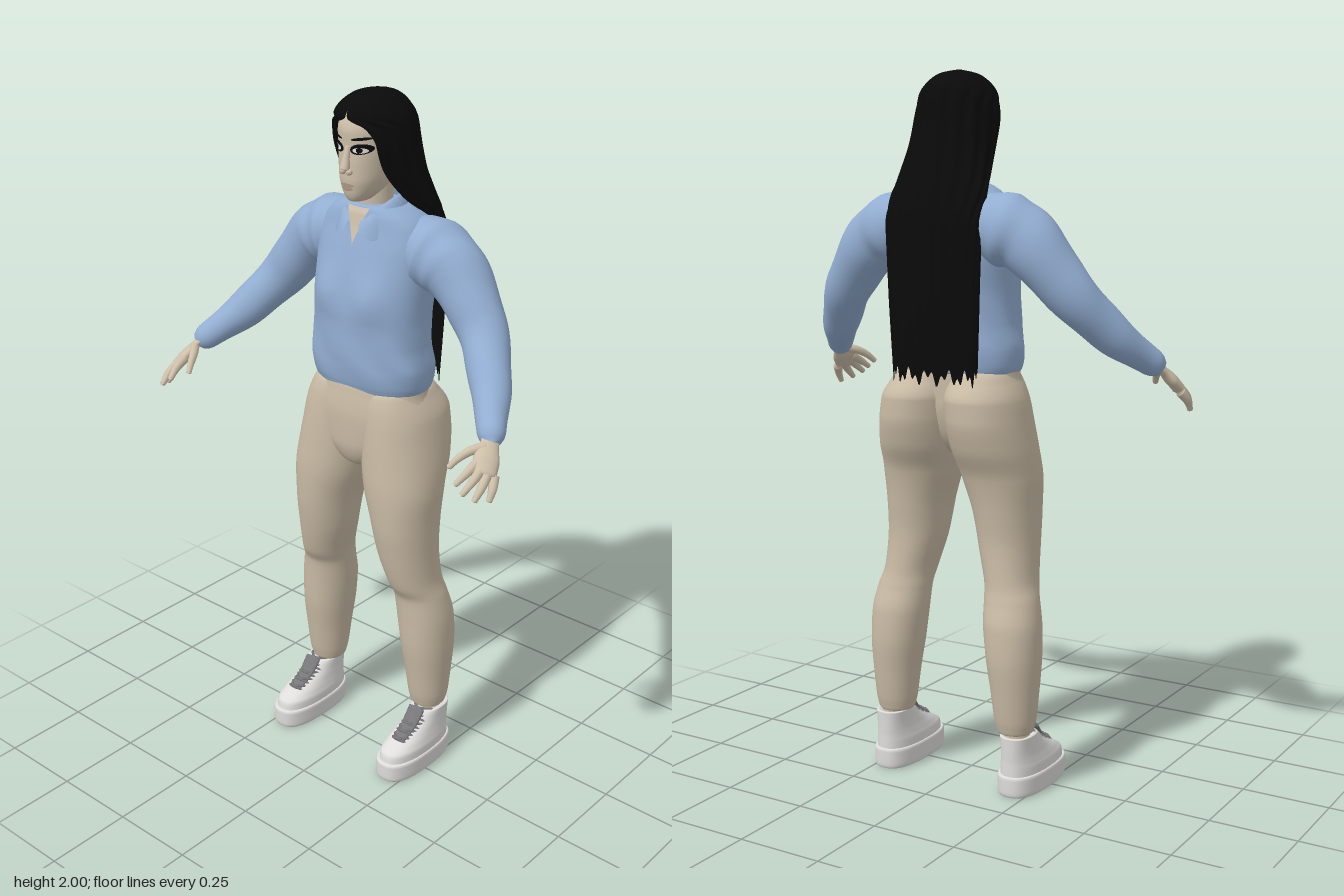
import * as THREE from 'three';
import { ParametricGeometry } from 'three/addons/geometries/ParametricGeometry.js';

const V = (p) => new THREE.Vector3(...p);
const mat = (name, color, open) => {
  const m = new THREE.MeshStandardMaterial({ color });
  m.name = name;
  if (open) m.side = THREE.DoubleSide;
  return m;
};

// Smooth interpolation through a table of rows, without overshoot
function sample(rows, v) {
  const f = Math.min(Math.max(v, 0), 1) * (rows.length - 1);
  const i = Math.min(Math.floor(f), rows.length - 2), t = f - i;
  return rows[0].map((_, c) => {
    const d = (k) => (rows[k + 1] && rows[k] ? rows[k + 1][c] - rows[k][c] : 0);
    const slope = (a, b) => (a * b > 0 ? (2 * a * b) / (a + b) : 0);
    const m0 = slope(d(i - 1), d(i)), m1 = slope(d(i), d(i + 1));
    const p0 = rows[i][c], p1 = rows[i + 1][c];
    return p0 + m0 * t + (3 * d(i) - 2 * m0 - m1) * t * t + (m0 + m1 - 2 * (p1 - p0)) * t * t * t;
  });
}

// Closed body from rows of [y, centreX, halfWidth, zFront, zBack], bottom to top
function loft(rows, e = 2, slices = 36, deform = null) {
  const pw = (s) => Math.sign(s) * Math.pow(Math.abs(s), 2 / e);
  return new ParametricGeometry((u, v, p) => {
    const [y, cx, rx, zf, zb] = sample(rows, v), a = u * Math.PI * 2;
    p.set(cx + rx * pw(Math.sin(a)), y, (zf + zb) / 2 + ((zf - zb) / 2) * pw(Math.cos(a)));
    if (deform) deform(p, a);
  }, slices, rows.length * 5);
}

// Rounded limb along points, with a radius at each step; flat squashes its thickness
function limb(points, radii, { ref = [0, 0, 1], flat = 1, slices = 12, stacks = 24, wrinkle = 0 } = {}) {
  const curve = new THREE.CatmullRomCurve3(points.map(V)), up = V(ref);
  return new ParametricGeometry((u, v, p) => {
    const w = Math.min(Math.max(v, 0), 1), a = u * Math.PI * 2;
    const t = curve.getTangent(w), n = up.clone().cross(t).normalize(), b = t.clone().cross(n);
    const k = Math.max(0, (Math.abs(2 * w - 1) - 0.9) / 0.1);
    const r = sample(radii.map((x) => [x]), w)[0] * Math.max(0.05, Math.sqrt(Math.max(0, 1 - k * k)))
      * (1 + wrinkle * Math.sin(w * 34 + 2 * Math.sin(a)));
    p.copy(curve.getPoint(w)).addScaledVector(n, r * flat * Math.cos(a)).addScaledVector(b, r * Math.sin(a));
  }, slices, stacks);
}

// Front surface depth of a lofted body at (x, y)
function frontZ(rows, x, y, e) {
  let i = 0;
  while (i < rows.length - 2 && rows[i + 1][0] < y) i++;
  const t = (y - rows[i][0]) / (rows[i + 1][0] - rows[i][0]);
  const [rx, zf, zb] = [2, 3, 4].map((c) => THREE.MathUtils.lerp(rows[i][c], rows[i + 1][c], t));
  const q = Math.pow(Math.min(1, Math.abs(x / rx)), e);
  return (zf + zb) / 2 + ((zf - zb) / 2) * Math.pow(1 - q, 1 / e);
}

function mirrored(geo) {
  const g = geo.clone().scale(-1, 1, 1), ix = g.index;
  for (let i = 0; i < ix.count; i += 3) {
    const a = ix.getX(i);
    ix.setX(i, ix.getX(i + 2));
    ix.setX(i + 2, a);
  }
  return g;
}

const HEAD = [
  [1.712, 0, 0.003, 0, -0.01], [1.716, 0, 0.022, 0.026, -0.04], [1.73, 0, 0.038, 0.036, -0.07], [1.75, 0, 0.052, 0.041, -0.1],
  [1.78, 0, 0.064, 0.045, -0.13], [1.82, 0, 0.072, 0.045, -0.16], [1.86, 0, 0.077, 0.043, -0.17],
  [1.9, 0, 0.077, 0.045, -0.17], [1.94, 0, 0.07, 0.032, -0.16], [1.97, 0, 0.05, 0, -0.13], [1.982, 0, 0.003, -0.06, -0.07]];
const TORSO = [
  [1.187, 0, 0.02, -0.05, -0.08], [1.185, 0, 0.172, 0.04, -0.172], [1.2, 0, 0.184, 0.048, -0.178], [1.25, 0, 0.19, 0.057, -0.182],
  [1.32, 0, 0.178, 0.06, -0.182], [1.4, 0, 0.174, 0.06, -0.187], [1.5, 0, 0.178, 0.046, -0.203],
  [1.58, 0, 0.182, 0.026, -0.207], [1.64, 0, 0.165, 0.008, -0.19], [1.68, 0, 0.125, 0, -0.165],
  [1.7, 0, 0.07, -0.01, -0.14], [1.702, 0, 0.003, -0.06, -0.07]];
const LEG = [
  [0.176, 0.2, 0.003, -0.09, -0.1], [0.176, 0.2, 0.046, -0.045, -0.14], [0.2, 0.2, 0.056, -0.035, -0.15], [0.3, 0.198, 0.067, -0.02, -0.165],
  [0.4, 0.193, 0.077, -0.007, -0.175], [0.48, 0.187, 0.081, -0.003, -0.172], [0.55, 0.178, 0.077, 0.002, -0.155],
  [0.6, 0.168, 0.073, 0.025, -0.145], [0.7, 0.152, 0.083, 0.05, -0.14], [0.8, 0.143, 0.093, 0.065, -0.15],
  [0.9, 0.13, 0.11, 0.07, -0.17], [0.98, 0.118, 0.115, 0.066, -0.207], [1.06, 0.108, 0.112, 0.06, -0.227],
  [1.11, 0.102, 0.108, 0.055, -0.228], [1.16, 0.095, 0.092, 0.046, -0.2], [1.19, 0.09, 0.075, 0.03, -0.165], [1.195, 0.09, 0.003, -0.05, -0.06]];
const PELVIS = [
  [0.93, 0, 0.003, -0.02, -0.03], [0.955, 0, 0.06, 0.03, -0.1], [1.02, 0, 0.15, 0.055, -0.15], [1.1, 0, 0.2, 0.058, -0.17],
  [1.17, 0, 0.182, 0.05, -0.172], [1.2, 0, 0.174, 0.042, -0.17], [1.202, 0, 0.003, -0.06, -0.07]];
// Hair rows: y, halfWidth, centreZ, depth, half sweep angle from the back
const HAIR = [
  [1.18, 0.135, -0.192, 0.038, 90], [1.4, 0.145, -0.197, 0.042, 90], [1.58, 0.15, -0.198, 0.044, 96], [1.66, 0.146, -0.175, 0.06, 122],
  [1.72, 0.135, -0.14, 0.083, 138], [1.8, 0.121, -0.1, 0.105, 143], [1.87, 0.115, -0.077, 0.115, 141], [1.915, 0.107, -0.07, 0.117, 151],
  [1.94, 0.098, -0.067, 0.115, 178], [1.965, 0.08, -0.065, 0.1, 180], [1.99, 0.046, -0.065, 0.06, 180], [2, 0.003, -0.065, 0.004, 180]];

export function createModel() {
  const root = new THREE.Group();
  root.name = 'standingWoman';
  const skin = mat('skin', 0xcdbfa9, true), shirt = mat('shirtBlue', 0x93aed2, true), cloth = mat('trouserBeige', 0xc9bba5);
  const black = mat('hairBlack', 0x0a0a0a, true), white = mat('shoeWhite', 0xdedddb), grey = mat('laceGrey', 0x77777a);
  const lip = mat('lips', 0xb39c8b), eye = mat('eyeWhite', 0xe4e0da);
  const add = (name, geo, m) => {
    const mesh = new THREE.Mesh(geo, m);
    mesh.name = name;
    root.add(mesh);
  };
  const pair = (name, geo, m) => {
    add(name + 'Left', geo, m);
    add(name + 'Right', mirrored(geo), m);
  };

  // Head and face
  add('head', loft(HEAD, 2.2, 40), skin);
  add('neck', loft([[1.58, 0, 0.055, -0.01, -0.12], [1.66, 0, 0.05, -0.018, -0.12], [1.76, 0, 0.048, -0.015, -0.12]], 2, 24), skin);
  add('nose', limb([[0, 1.868, 0.038], [0, 1.835, 0.047], [0, 1.803, 0.055]], [0.008, 0.01, 0.014]), skin);
  pair('nostril', new THREE.SphereGeometry(0.009, 12, 8).translate(0.011, 1.8, 0.048), skin);
  const patch = (cx, cy, rx, ry, lift, tilt = 0) => new ParametricGeometry((u, v, p) => {
    const a = -u * Math.PI * 2, x = cx + v * rx * Math.cos(a);
    const y = cy + v * ry * Math.sin(a) + tilt * (x - cx);
    p.set(x, y, frontZ(HEAD, x, y, 2.2) + lift);
  }, 20, 4);
  pair('eyelashes', patch(0.037, 1.861, 0.026, 0.014, 0.002, 0.1), black);
  pair('eyeball', patch(0.037, 1.858, 0.018, 0.0075, 0.004), eye);
  pair('iris', patch(0.037, 1.859, 0.0075, 0.0075, 0.006), black);
  pair('eyebrow', patch(0.04, 1.888, 0.025, 0.004, 0.003, 0.12), black);
  add('upperLip', patch(0, 1.763, 0.023, 0.005, 0.004), lip);
  add('lowerLip', patch(0, 1.754, 0.019, 0.006, 0.005), lip);

  // Long hair: open at the face, falling as a sheet down the back
  add('hair', new ParametricGeometry((u, v, p) => {
    const [y, rx, zc, rz, A] = sample(HAIR, v), a = (2 * u - 1) * THREE.MathUtils.degToRad(A);
    const k = 1 + 0.025 * Math.sin(u * 75) * Math.sin(Math.min(1, v) * Math.PI);
    const ragged = Math.max(0, 1 - v * 16) * 0.013 * (Math.sin(u * 41) + Math.sin(u * 97));
    p.set(-rx * k * Math.sin(a), y + ragged, zc - rz * k * Math.cos(a));
  }, 96, 60), black);

  // Shirt body with soft folds, collar and open neck
  add('shirtBody', loft(TORSO, 2.4, 56, (p, a) => {
    const low = Math.max(0, 1 - Math.abs(p.y - 1.26) / 0.12);
    const k = 1 + 0.018 * low * Math.sin(7 * a + 30 * p.y);
    p.x *= k;
    p.z = -0.06 + (p.z + 0.06) * k;
    if (p.z > -0.05) p.z += 0.016 * Math.exp(-(((Math.abs(p.x) - 0.08) / 0.055) ** 2) - ((p.y - 1.46) / 0.06) ** 2);
  }), shirt);
  add('neckOpening', new ParametricGeometry((u, v, p) => {
    const x = (2 * u - 1) * 0.036 * v, y = 1.6 + 0.095 * v;
    p.set(x, y, frontZ(TORSO, x, y, 2.4) + 0.006);
  }, 8, 10), skin);
  add('collar', new ParametricGeometry((u, v, p) => {
    const a = (2 * u - 1) * 2.9, f = (1 - Math.cos(a)) / 2;
    const tip = Math.exp(-(((Math.abs(a) - 2.45) / 0.3) ** 2)) * (1 - v);
    const rx = 0.104 - 0.036 * v, rz = 0.104 - 0.026 * v + 0.008 * tip;
    const top = 1.725 - 0.065 * f ** 4, low = 1.662 - 0.025 * f - 0.022 * tip;
    p.set(-rx * Math.sin(a), low + (top - low) * Math.sin(v * 1.57), -0.07 - rz * Math.cos(a));
  }, 60, 8), shirt);

  // Sleeves
  pair('sleeve', limb([[0.1, 1.585, -0.1], [0.17, 1.575, -0.11], [0.24, 1.545, -0.11], [0.35, 1.42, -0.09], [0.445, 1.3, -0.01], [0.54, 1.198, 0.108]],
    [0.085, 0.1, 0.089, 0.069, 0.055, 0.036], { slices: 28, stacks: 70, wrinkle: 0.022 }), shirt);

  // Hands
  const across = [0.8, -0.5, -0.35];
  pair('palm', limb([[0.515, 1.23, 0.075], [0.535, 1.2, 0.11], [0.548, 1.172, 0.14], [0.562, 1.142, 0.17]],
    [0.024, 0.025, 0.035, 0.033], { ref: across, flat: 0.5, slices: 16 }), skin);
  const fingers = {
    indexFinger: [[0.535, 1.172, 0.155], [0.53, 1.152, 0.198], [0.52, 1.128, 0.235]],
    middleFinger: [[0.55, 1.16, 0.16], [0.553, 1.138, 0.202], [0.546, 1.11, 0.24]],
    ringFinger: [[0.564, 1.148, 0.155], [0.573, 1.122, 0.192], [0.572, 1.093, 0.222]],
    littleFinger: [[0.575, 1.14, 0.142], [0.588, 1.112, 0.165], [0.59, 1.083, 0.182]],
    thumb: [[0.535, 1.2, 0.115], [0.505, 1.19, 0.15], [0.487, 1.172, 0.18], [0.474, 1.15, 0.203]],
  };
  for (const [name, pts] of Object.entries(fingers)) pair(name, limb(pts, [0.014, 0.0115, 0.008], { ref: across, slices: 10 }), skin);

  // Trousers
  add('trouserSeat', loft(PELVIS, 2.2, 44), cloth);
  pair('trouserLeg', loft(LEG, 2.1, 36), cloth);
  pair('ankle', loft([[0.12, 0.208, 0.036, -0.05, -0.135], [0.2, 0.204, 0.036, -0.055, -0.135]], 2, 20), skin);

  // Shoes: thick sole, sloping upper, tongue and crossed laces
  pair('shoeSole', loft([[0.001, 0.21, 0.003, 0, -0.01], [0, 0.21, 0.058, 0.122, -0.148], [0.012, 0.21, 0.064, 0.13, -0.154], [0.05, 0.21, 0.065, 0.131, -0.155],
    [0.06, 0.21, 0.061, 0.126, -0.151], [0.061, 0.21, 0.003, 0, -0.01]], 2.6), white);
  const UPPER = [[0.05, 0.21, 0.06, 0.122, -0.149], [0.08, 0.21, 0.059, 0.116, -0.149], [0.098, 0.21, 0.055, 0.09, -0.149], [0.12, 0.21, 0.05, 0.045, -0.15],
    [0.145, 0.21, 0.047, 0, -0.151], [0.17, 0.21, 0.046, -0.03, -0.152], [0.172, 0.21, 0.04, -0.04, -0.145], [0.15, 0.21, 0.003, -0.09, -0.1]];
  pair('shoeUpper', loft(UPPER, 2.4), white);
  pair('shoeTongue', limb([[0.21, 0.106, 0.068], [0.21, 0.14, 0.008], [0.21, 0.182, -0.03]], [0.022, 0.026, 0.028],
    { ref: [1, 0, 0], flat: 0.3 }), grey);
  for (let i = 0; i < 5; i++) {
    const y = 0.108 + i * 0.014, z = 0.066 - i * 0.025, w = 0.031 + i * 0.002;
    for (const s of [-1, 1]) {
      pair('lace', limb([[0.21 - s * w, y - 0.004, z - 0.014], [0.21, y + 0.009, z], [0.21 + s * w, y + 0.006, z - 0.03]],
        [0.004, 0.004, 0.004], { ref: [0, 1, 0], slices: 6, stacks: 10 }), grey);
    }
  }
  return root;
}
